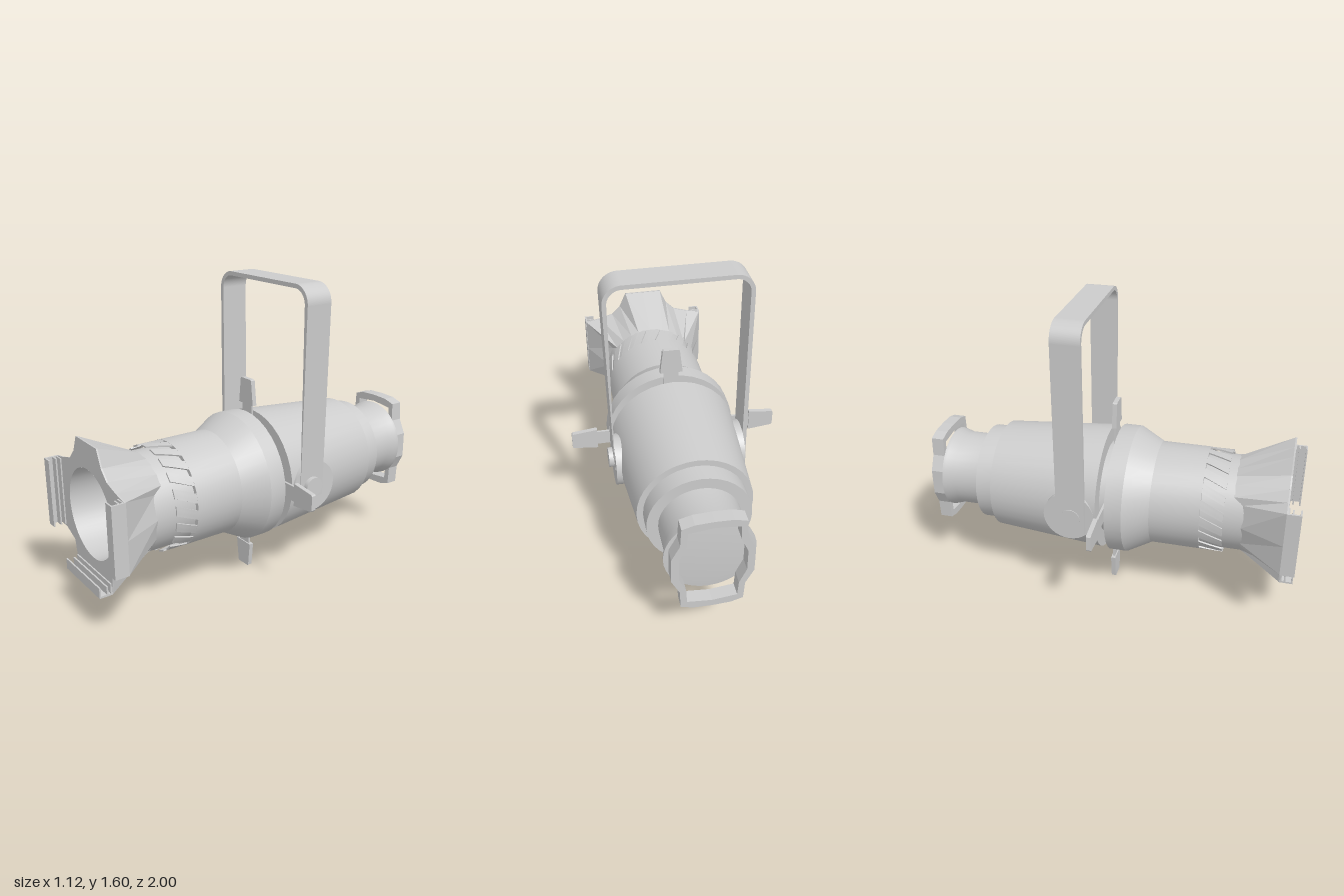
import * as THREE from 'three';
import { toCreasedNormals, mergeGeometries } from 'three/addons/utils/BufferGeometryUtils.js';

const mat = new THREE.MeshStandardMaterial({ color: 0xcccccc, side: THREE.DoubleSide });

function add(parent, name, geo, x = 0, y = 0, z = 0) {
  const m = new THREE.Mesh(geo, mat);
  m.name = name;
  m.position.set(x, y, z);
  parent.add(m);
  return m;
}

// Turned part along the z axis; profile is [radius, z], back to front
function turned(profile, seg = 36) {
  const g = new THREE.LatheGeometry(profile.map(p => new THREE.Vector2(p[0], p[1])), seg);
  g.rotateX(Math.PI / 2);
  return toCreasedNormals(g, 0.35);
}

const poly = pts => new THREE.Shape(pts.map(p => new THREE.Vector2(p[0], p[1])));
const slab = (shape, depth) =>
  new THREE.ExtrudeGeometry(shape, { depth, bevelEnabled: false, curveSegments: 24 });

// Full outline from its right half, listed top to bottom
function mirrored(half) {
  const left = half.filter(p => p[0] > 0).map(p => [-p[0], p[1]]).reverse();
  return [...half, ...left];
}

// Skin between two equal-length closed loops of [x, y, z]
function loft(a, b) {
  const pos = [];
  a.forEach((p, i) => {
    const j = (i + 1) % a.length;
    pos.push(...p, ...b[i], ...b[j], ...p, ...b[j], ...a[j]);
  });
  const g = new THREE.BufferGeometry();
  g.setAttribute('position', new THREE.Float32BufferAttribute(pos, 3));
  g.computeVertexNormals();
  return g;
}

function box(w, h, d, x, y, z) {
  return new THREE.BoxGeometry(w, h, d).translate(x, y, z);
}

// C-shaped accessory holder, outer wall facing -y
function holder(width) {
  return mergeGeometries([
    box(width, 0.01, 0.07, 0, 0.005, 0.965),
    box(width, 0.06, 0.008, 0, 0.03, 0.938),
    box(width, 0.05, 0.008, 0, 0.025, 0.958),
    box(width, 0.055, 0.008, 0, 0.0275, 0.996),
  ]);
}

// One slanted strip wrapped around the barrel
function ventStrip(angle) {
  const g = new THREE.BoxGeometry(0.18, 0.008, 0.13, 3, 1, 3);
  const p = g.attributes.position;
  for (let i = 0; i < p.count; i++) {
    const z = p.getZ(i);
    const a = angle + p.getX(i) - z * 1.6;
    const r = 0.27 + p.getY(i);
    p.setXYZ(i, r * Math.sin(a), r * Math.cos(a), z + 0.555);
  }
  return toCreasedNormals(g, 0.5);
}

// Closed outline of the inverted-U yoke
function yokeShape(w, t, bottom, top, r) {
  const s = new THREE.Shape();
  s.moveTo(w, bottom);
  s.absarc(w - r, top - r, r, 0, Math.PI / 2, false);
  s.absarc(-w + r, top - r, r, Math.PI / 2, Math.PI, false);
  s.lineTo(-w, bottom);
  s.lineTo(-w + t, bottom);
  s.absarc(-w + r, top - r, r - t, Math.PI, Math.PI / 2, true);
  s.absarc(w - r, top - r, r - t, Math.PI / 2, 0, true);
  s.lineTo(w - t, bottom);
  return s;
}

export function createModel() {
  const root = new THREE.Group();
  root.name = 'stageSpotlight';

  // Everything turned shares one optical axis
  const lamp = new THREE.Group();
  lamp.name = 'lamp';
  lamp.position.set(0.015, 0.57, 0);
  root.add(lamp);

  // Rear housing with stepped lamp cap
  add(lamp, 'rearHousing', turned([
    [0, -0.935], [0.17, -0.935], [0.22, -0.93], [0.218, -0.915], [0.203, -0.865], [0.203, -0.715],
    [0.26, -0.715], [0.26, -0.62], [0.292, -0.62], [0.338, -0.03], [0.25, -0.03],
  ]));
  add(lamp, 'shutterGate', turned([[0.25, -0.03], [0.25, 0.025]]));

  // Front barrel
  add(lamp, 'frontBarrel', turned([
    [0.25, 0.02], [0.345, 0.02], [0.345, 0.11], [0.275, 0.24], [0.275, 0.5], [0.252, 0.5],
  ]));
  add(lamp, 'lensTube', turned([[0.252, 0.48], [0.252, 0.72]]));
  add(lamp, 'bore', turned([
    [0.165, -0.9], [0.2, -0.6], [0.21, 0], [0.21, 0.58], [0.23, 0.6], [0.23, 0.935],
  ]));

  // Slanted cooling strips
  const vents = new THREE.Group();
  vents.name = 'coolingVents';
  lamp.add(vents);
  for (let i = 0; i < 20; i++) add(vents, 'ventStrip', ventStrip(i * Math.PI / 10));

  // Flared front hood: cross-shaped plate blending back to the round tube
  const outline = mirrored([
    [0, 0.365], [0.107, 0.365], [0.145, 0.28], [0.195, 0.23], [0.28, 0.205], [0.36, 0.19],
    [0.36, 0], [0.36, -0.17], [0.29, -0.18], [0.205, -0.215], [0.19, -0.29], [0.18, -0.35], [0, -0.35],
  ]);
  const rim = outline.map(([x, y]) => [x, y, 0.93]);
  const neck = outline.map(([x, y]) => {
    const a = Math.atan2(y, x);
    return [0.252 * Math.cos(a), 0.252 * Math.sin(a), y > 0.2 ? 0.66 : 0.71];
  });
  add(lamp, 'frontHood', loft(neck, rim));
  const plate = poly(outline);
  plate.holes.push(new THREE.Path().absarc(0, 0, 0.23, 0, Math.PI * 2, true));
  add(lamp, 'frontPlate', slab(plate, 0.008), 0, 0, 0.927);

  // Accessory holders on both sides and the bottom
  add(lamp, 'bottomHolder', holder(0.365), 0, -0.35, 0);
  for (const s of [-1, 1]) {
    add(lamp, 'sideHolder', holder(0.36), s * 0.362, 0.01, 0).rotation.z = s * Math.PI / 2;
  }

  // Four shutter blades with tapered grips: direction, start offset, length
  const shutters = [[0, 0, 0, 0.52], [Math.PI / 2, -0.015, 0.005, 0.575],
    [Math.PI, -0.025, 0, 0.565], [-Math.PI / 2, 0.015, 0.005, 0.545]];
  for (const [angle, dx, dy, len] of shutters) {
    const blade = new THREE.Group();
    blade.name = 'shutter';
    blade.position.set(angle === Math.PI ? dx : 0, dy, 0);
    blade.rotation.z = angle;
    lamp.add(blade);
    const g = len - 0.137;
    add(blade, 'shutterStem', box(0.08, g - 0.2, 0.012, 0, (g + 0.2) / 2, 0.005));
    add(blade, 'shutterGrip', slab(poly([
      [-0.06, g], [0.06, g], [0.045, len - 0.005], [0.038, len], [-0.038, len], [-0.045, len - 0.005],
    ]), 0.024), 0, 0, -0.007);
  }

  // Rear handle frame with bulging sides
  const handle = poly(mirrored([
    [0, 0.272], [0.09, 0.268], [0.15, 0.25], [0.155, 0.15], [0.195, 0.07],
    [0.195, -0.07], [0.155, -0.15], [0.15, -0.25], [0.09, -0.268], [0, -0.272],
  ]));
  handle.holes.push(poly(mirrored([
    [0, 0.235], [0.12, 0.222], [0.125, 0.142], [0.16, 0.06],
    [0.16, -0.06], [0.125, -0.142], [0.12, -0.222], [0, -0.235],
  ])));
  add(lamp, 'rearHandle', slab(handle, 0.066), 0, -0.008, -1);

  // Hanging yoke with pivot discs and bolts
  add(root, 'yoke', slab(yokeShape(0.3625, 0.022, 0.47, 1.605, 0.095), 0.15), 0.0175, 0, -0.23);
  for (const s of [-1, 1]) {
    const disc = new THREE.CylinderGeometry(0.135, 0.135, 0.05, 32).rotateZ(Math.PI / 2);
    add(root, 'pivotDisc', toCreasedNormals(disc, 0.5), 0.0175 + s * 0.316, 0.555, -0.17);
    const bolt = new THREE.CylinderGeometry(0.052, 0.052, 0.03, 24).rotateZ(Math.PI / 2);
    add(root, 'pivotBolt', toCreasedNormals(bolt, 0.5), 0.0175 + s * 0.352, 0.56, -0.155);
  }
  return root;
}
